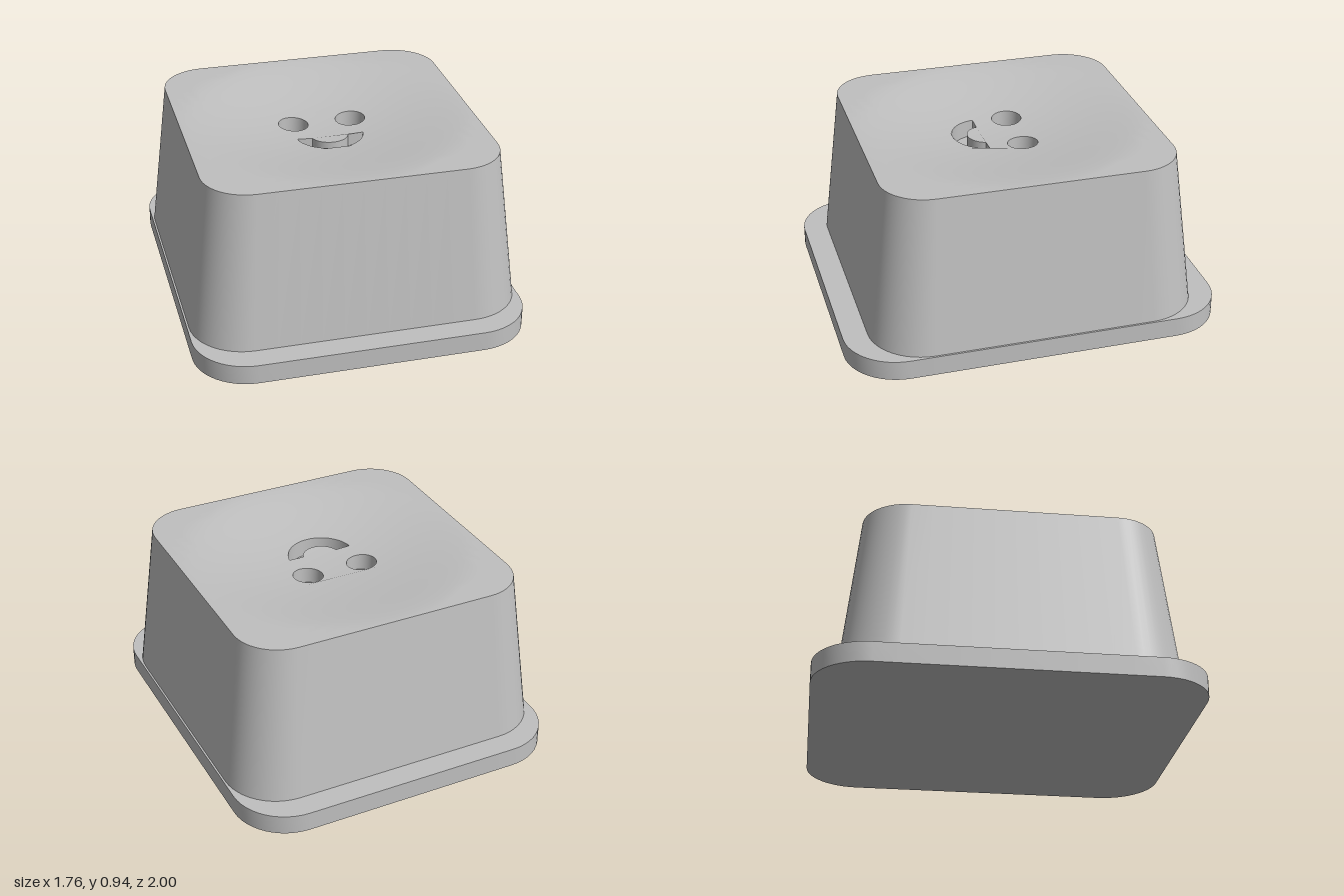
import * as THREE from 'three';
import { toCreasedNormals } from 'three/addons/utils/BufferGeometryUtils.js';

const TOP = 0.94, RIM = 0.105, FLOOR = 0.78, INNER = 0.3;

// Height of the shallow dish in the top face
function dishY(x, z) {
  const q = Math.min(1, (x * x + z * z) / (0.78 * 0.78));
  return TOP - 0.078 * Math.pow(1 - q, 1.5);
}

// Counter-clockwise rounded rectangle, with points along the straight edges too
function outline(hx, hz, r) {
  const pts = [], corners = [[1, 1], [-1, 1], [-1, -1], [1, -1]];
  const at = (k, a) => new THREE.Vector2(
    corners[k][0] * (hx - r) + r * Math.cos(a), corners[k][1] * (hz - r) + r * Math.sin(a));
  for (let k = 0; k < 4; k++) {
    for (let i = 0; i <= 12; i++) pts.push(at(k, (k + i / 12) * Math.PI / 2));
    const from = pts[pts.length - 1], to = at((k + 1) % 4, (k + 1) * Math.PI / 2);
    for (let i = 1; i < 10; i++) pts.push(from.clone().lerp(to, i / 10));
  }
  return pts;
}

// Plan points (x, -z) lifted to a ring; y may be a number or a function
const ring = (pts, y) => pts.map(p =>
  new THREE.Vector3(p.x, typeof y === 'function' ? y(p.x, -p.y) : y, -p.y));

// Closed skin through a list of rings
function loft(rings) {
  const n = rings[0].length, index = [];
  for (let j = 0; j < rings.length - 1; j++) {
    for (let i = 0; i < n; i++) {
      const a = j * n + i, b = j * n + (i + 1) % n;
      index.push(a, b, b + n, a, b + n, a + n);
    }
  }
  const geo = new THREE.BufferGeometry().setFromPoints(rings.flat());
  geo.setIndex(index);
  geo.computeVertexNormals();
  return geo;
}

// Smooth normals taken from the dish curve
function dishNormals(geo) {
  const p = geo.attributes.position, n = geo.attributes.normal, e = 0.005;
  const v = new THREE.Vector3();
  for (let i = 0; i < p.count; i++) {
    const x = p.getX(i), z = p.getZ(i);
    v.set(dishY(x - e, z) - dishY(x + e, z), 2 * e, dishY(x, z - e) - dishY(x, z + e)).normalize();
    n.setXYZ(i, v.x, v.y, v.z);
  }
  return geo;
}

function arc(cx, cy, r, a0, a1, count) {
  return Array.from({ length: count }, (_, i) => {
    const a = a0 + (a1 - a0) * i / (count - 1);
    return new THREE.Vector2(cx + r * Math.cos(a), cy + r * Math.sin(a));
  });
}

export function createModel() {
  const model = new THREE.Group();
  const grey = new THREE.MeshStandardMaterial({ color: 0xc0c0c0 });
  grey.name = 'grey';
  const add = (name, geo) => {
    const mesh = new THREE.Mesh(geo, grey);
    mesh.name = name;
    model.add(mesh);
  };

  // Base plate
  const base = new THREE.ExtrudeGeometry(new THREE.Shape(outline(0.88, 1, 0.29)),
    { depth: RIM, bevelEnabled: false });
  base.rotateX(-Math.PI / 2);
  add('basePlate', toCreasedNormals(base, 0.6));

  // Tapered body
  const topEdge = outline(0.775, 0.775, 0.24);
  add('body', loft([ring(outline(0.87, 0.87, 0.29), RIM), ring(topEdge, TOP)]));

  // Outer part of the dished top, from the square edge in to a circle
  const circle = topEdge.map(p => p.clone().setLength(INNER));
  const rings = [];
  for (let j = 0; j <= 12; j++) {
    rings.push(ring(topEdge.map((p, i) => p.clone().lerp(circle[i], j / 12)), j ? dishY : TOP));
  }
  add('dishedTop', dishNormals(loft(rings)));

  // Eye and smile openings, counter-clockwise
  const eye = x => arc(x, 0.08, 0.08, 0, Math.PI * 2, 41).slice(0, -1);
  const cut = r => Math.asin(0.025 / r);
  const smile = [
    ...arc(0, -0.08, 0.18, Math.PI + cut(0.18), 2 * Math.PI - cut(0.18), 29),
    ...arc(0, -0.08, 0.1, 2 * Math.PI - cut(0.1), Math.PI + cut(0.1), 21),
  ];
  const openings = { leftEye: eye(0.157), rightEye: eye(-0.157), smile };

  // Centre of the dish, pierced by the openings
  const centre = new THREE.Shape(circle);
  for (const pts of Object.values(openings)) centre.holes.push(new THREE.Path(pts));
  const centreGeo = new THREE.ShapeGeometry(centre).rotateX(-Math.PI / 2);
  const pos = centreGeo.attributes.position;
  for (let i = 0; i < pos.count; i++) pos.setY(i, dishY(pos.getX(i), pos.getZ(i)));
  add('dishCentre', dishNormals(centreGeo));

  // Recess walls and floors
  for (const [name, pts] of Object.entries(openings)) {
    add(name + 'Wall', toCreasedNormals(loft([ring(pts, dishY), ring(pts, FLOOR)]), 0.6));
    const floor = new THREE.ShapeGeometry(new THREE.Shape(pts)).rotateX(-Math.PI / 2);
    add(name + 'Floor', floor.translate(0, FLOOR, 0));
  }
  return model;
}
